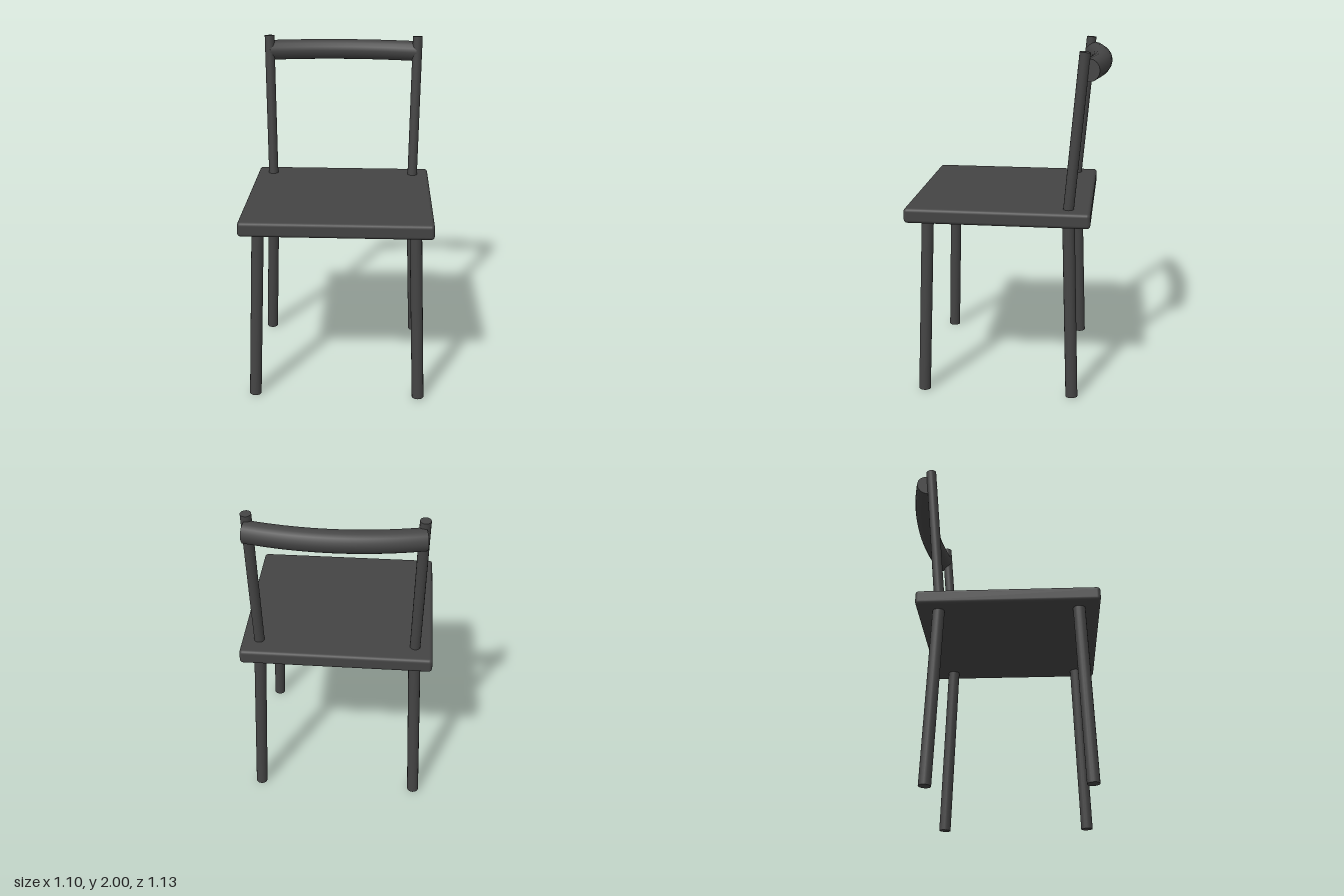
import * as THREE from 'three';
import { RoundedBoxGeometry } from 'three/addons/geometries/RoundedBoxGeometry.js';

export function createModel() {
  const chair = new THREE.Group();
  chair.name = 'chair';
  const charcoal = new THREE.MeshStandardMaterial({ color: 0x444444 });
  charcoal.name = 'charcoal';

  const add = (name, geometry, parent = chair) => {
    const mesh = new THREE.Mesh(geometry, charcoal);
    mesh.name = name;
    parent.add(mesh);
    return mesh;
  };

  // Round rod running from one point to another
  const rod = (name, from, to, radius) => {
    const a = new THREE.Vector3(...from);
    const b = new THREE.Vector3(...to);
    const dir = b.clone().sub(a);
    const mesh = add(name, new THREE.CylinderGeometry(radius, radius, dir.length(), 16));
    mesh.position.copy(a).add(b).multiplyScalar(0.5);
    mesh.quaternion.setFromUnitVectors(new THREE.Vector3(0, 1, 0), dir.normalize());
  };

  // Seat slab with softened edges
  add('seat', new RoundedBoxGeometry(1.096, 0.086, 1.046, 3, 0.02)).position.set(0, 1.085, 0.045);

  // Splayed legs and leaning back posts, mirrored left and right
  for (const [side, s] of [['left', 1], ['right', -1]]) {
    rod(side + 'FrontLeg', [s * 0.487, 0.002, 0.485], [s * 0.447, 1.06, 0.448], 0.035);
    rod(side + 'BackLeg', [s * 0.487, 0.002, -0.39], [s * 0.447, 1.06, -0.353], 0.035);
    rod(side + 'BackPost', [s * 0.447, 1.1, -0.35], [s * 0.46, 1.998, -0.427], 0.03);
  }

  // Curved top rail with closed ends
  const rail = new THREE.Group();
  rail.name = 'backRail';
  chair.add(rail);
  const railRadius = 0.062;
  const path = new THREE.QuadraticBezierCurve3(
    new THREE.Vector3(-0.467, 1.902, -0.448),
    new THREE.Vector3(0, 1.902, -0.56),
    new THREE.Vector3(0.467, 1.902, -0.448)
  );
  add('railTube', new THREE.TubeGeometry(path, 32, railRadius, 16), rail);
  for (const [name, t, sign] of [['railRightEnd', 0, -1], ['railLeftEnd', 1, 1]]) {
    const cap = add(name, new THREE.CircleGeometry(railRadius, 16), rail);
    cap.position.copy(path.getPoint(t));
    cap.quaternion.setFromUnitVectors(
      new THREE.Vector3(0, 0, 1), path.getTangent(t).multiplyScalar(sign));
  }

  return chair;
}
